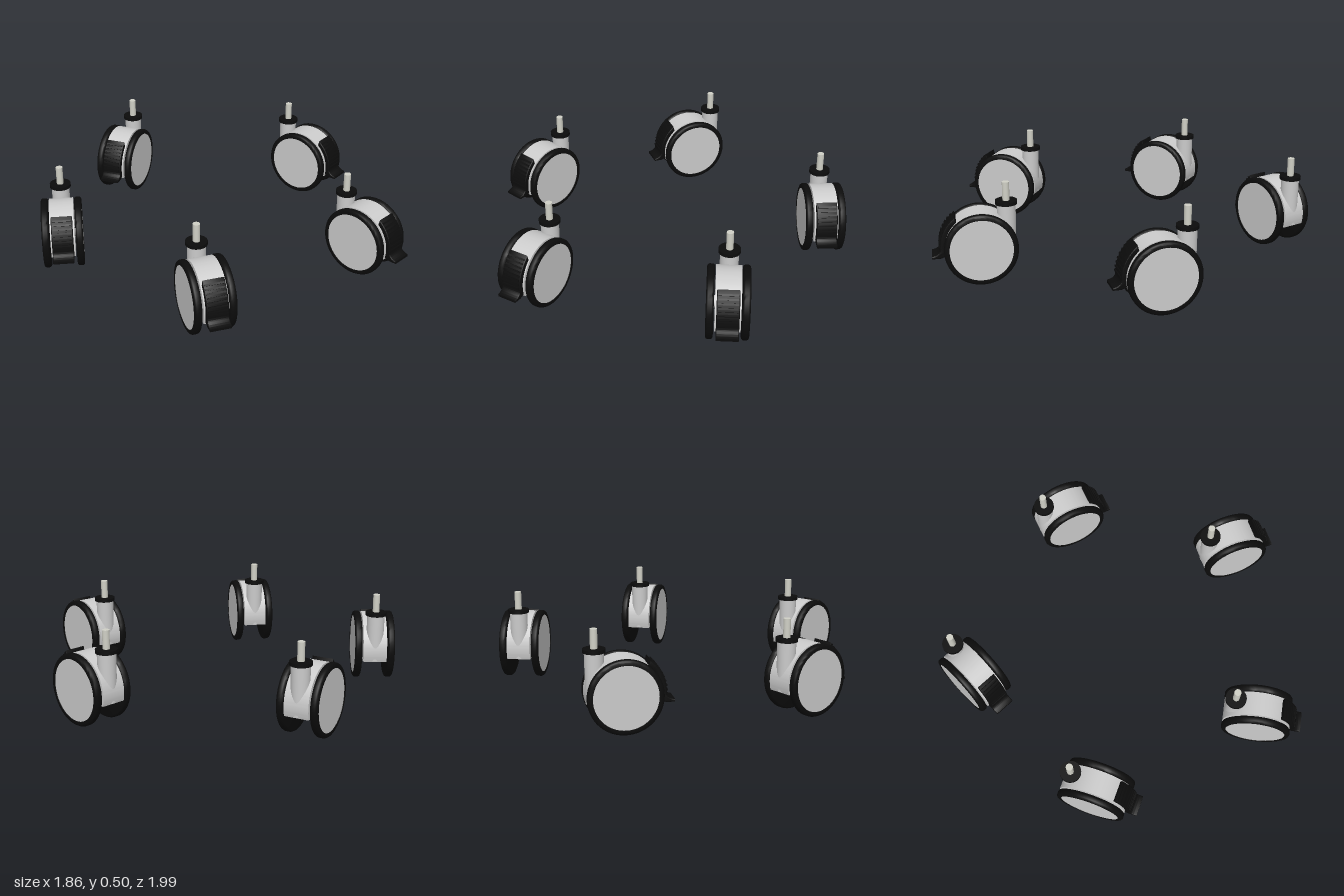
import * as THREE from 'three';
import { toCreasedNormals } from 'three/addons/utils/BufferGeometryUtils.js';

const grey = new THREE.MeshStandardMaterial({ color: 0xcccccc });
const black = new THREE.MeshStandardMaterial({ color: 0x0c0c0c });
const steel = new THREE.MeshStandardMaterial({ color: 0xd0d0c6 });

// Wheel centre in a caster whose stem is at the origin, trailing towards +z
const CZ = 0.133, CY = 0.183, R = 0.183;

function add(parent, name, geometry, material, x = 0, y = 0, z = 0) {
  const mesh = new THREE.Mesh(geometry, material);
  mesh.name = name;
  mesh.position.set(x, y, z);
  parent.add(mesh);
  return mesh;
}

// Side profile (z, y) extruded across x, centred
function sideExtrude(shape, width, bevel) {
  const depth = width - 2 * bevel;
  const g = new THREE.ExtrudeGeometry(shape, {
    depth, curveSegments: 40, bevelEnabled: bevel > 0,
    bevelSize: bevel, bevelThickness: bevel, bevelOffset: -bevel, bevelSegments: 3,
  });
  g.translate(0, 0, -depth / 2).rotateY(-Math.PI / 2);
  return toCreasedNormals(g, 0.6);
}

const polar = (r, a) => [CZ + r * Math.cos(a), CY + r * Math.sin(a)];

function bodyGeometry() {
  // Round housing cut off flat underneath
  const r = 0.18, a = Math.asin((0.135 - CY) / r);
  const s = new THREE.Shape();
  s.absarc(CZ, CY, r, a, Math.PI - a, false);
  s.closePath();
  return sideExtrude(s, 0.126, 0);
}

function pedalGeometry() {
  // Curved shell over the housing with a lip flaring out at the bottom
  const s = new THREE.Shape();
  s.moveTo(...polar(0.184, 0.92));
  s.absarc(CZ, CY, 0.176, 0.85, -0.22, true);
  s.lineTo(0.335, 0.134);
  s.lineTo(0.376, 0.134);
  s.lineTo(0.376, 0.147);
  s.quadraticCurveTo(0.345, 0.15, ...polar(0.203, -0.05));
  s.absarc(CZ, CY, 0.203, -0.02, 0.85, false);
  s.lineTo(...polar(0.206, 0.92));
  s.closePath();
  return sideExtrude(s, 0.11, 0.004);
}

function tyreGeometry() {
  // Wheel section (radius, distance from middle), closed on the inner side
  const pts = [[0, 0.068], [0.172, 0.068], [0.179, 0.071], [R, 0.078], [R, 0.096],
    [0.179, 0.103], [0.172, 0.106], [0.158, 0.106], [0.156, 0.1]];
  const g = new THREE.LatheGeometry(pts.map(p => new THREE.Vector2(...p)), 64);
  return toCreasedNormals(g, 0.7);
}

const geo = {
  body: bodyGeometry(),
  pedal: pedalGeometry(),
  ridge: new THREE.BoxGeometry(0.096, 0.009, 0.012),
  tyre: tyreGeometry(),
  cover: new THREE.CylinderGeometry(0.157, 0.157, 0.004, 64),
  axle: new THREE.CylinderGeometry(0.03, 0.03, 0.15, 24).rotateZ(Math.PI / 2),
  socket: new THREE.CylinderGeometry(0.047, 0.044, 0.25, 32),
  collar: new THREE.CylinderGeometry(0.055, 0.055, 0.018, 32),
  stem: new THREE.CylinderGeometry(0.018, 0.018, 0.11, 24),
};

function caster() {
  const c = new THREE.Group();
  c.name = 'caster';
  add(c, 'housing', geo.body, grey);
  add(c, 'axle', geo.axle, grey, 0, CY, CZ);
  add(c, 'stemSocket', geo.socket, grey, 0, 0.262, 0);
  add(c, 'collar', geo.collar, black, 0, 0.396, 0);
  add(c, 'stem', geo.stem, steel, 0, 0.445, 0);

  // Twin wheels, mirrored
  for (const side of [-1, 1]) {
    const wheel = new THREE.Group();
    wheel.name = side > 0 ? 'leftWheel' : 'rightWheel';
    wheel.position.set(0, CY, CZ);
    wheel.rotation.z = -side * Math.PI / 2;
    add(wheel, 'tyre', geo.tyre, black);
    add(wheel, 'wheelCover', geo.cover, grey, 0, 0.102, 0);
    c.add(wheel);
  }

  // Brake pedal with grip ridges
  add(c, 'brakePedal', geo.pedal, black);
  for (let i = 0; i < 8; i++) {
    const a = 0.06 + i * 0.105;
    const [z, y] = polar(0.203, a);
    add(c, 'pedalRidge', geo.ridge, black, 0, y, z).rotation.x = -a;
  }
  return c;
}

export function createModel() {
  const model = new THREE.Group();
  model.name = 'casterSet';
  // Stem x, stem z, heading in degrees
  const places = [
    [-0.23, -0.9, -35], [0.66, -0.61, 37], [-0.78, -0.14, -8],
    [0.66, 0.33, 31], [-0.23, 0.62, 3],
  ];
  for (const [x, z, heading] of places) {
    const c = caster();
    c.position.set(x, 0, z);
    c.rotation.y = THREE.MathUtils.degToRad(heading);
    model.add(c);
  }
  return model;
}
